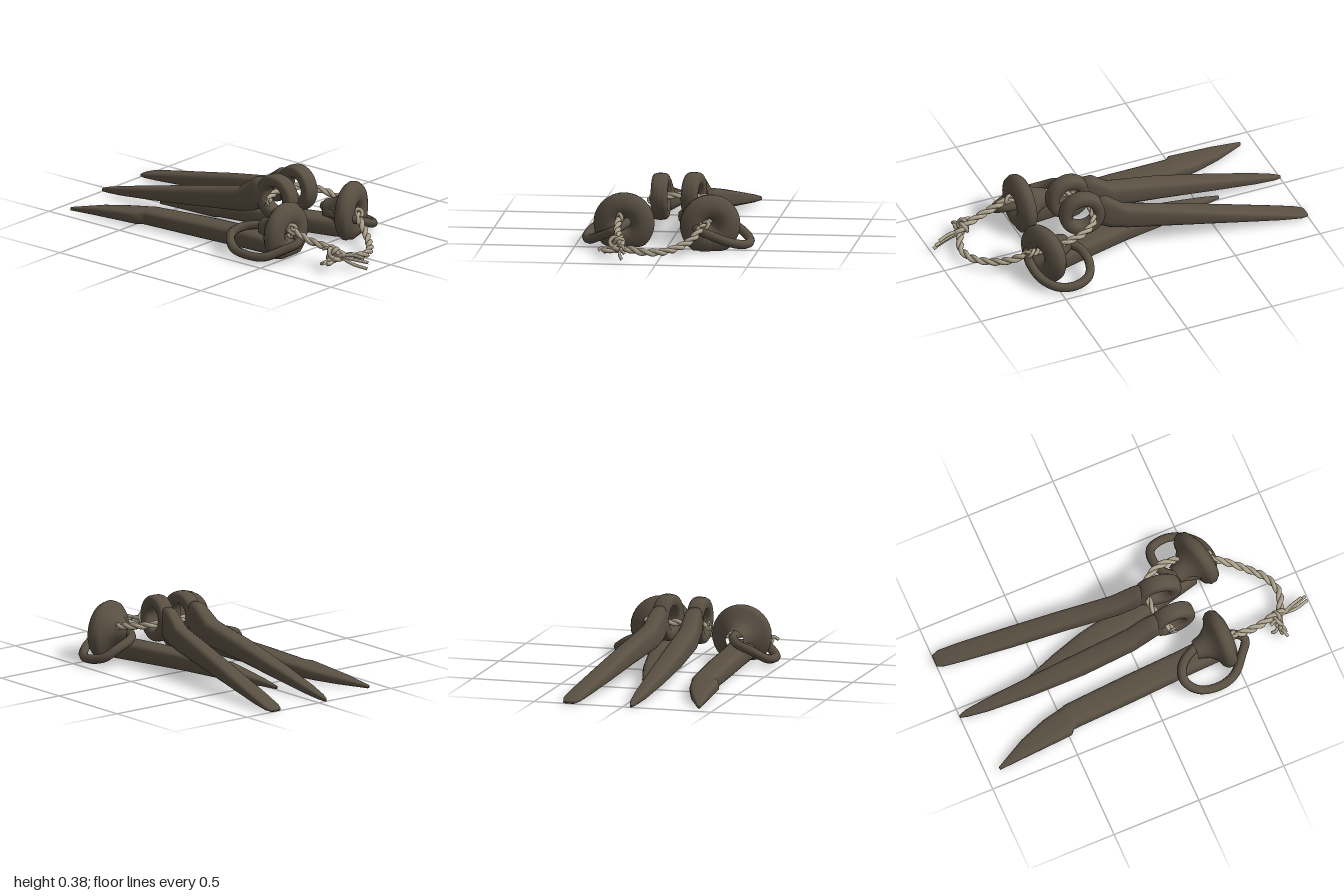
import * as THREE from 'three';

const iron = new THREE.MeshStandardMaterial({ color: 0x5a5043 });
iron.name = 'dark iron';
const hemp = new THREE.MeshStandardMaterial({ color: 0xaea48e });
hemp.name = 'pale rope';

const vec = (p) => new THREE.Vector3(...p);

function add(parent, name, geometry, material) {
  const mesh = new THREE.Mesh(geometry, material);
  mesh.name = name;
  parent.add(mesh);
  return mesh;
}

// Rounded-square point, used for every forged cross-section
function rounded(t, power) {
  const f = (v) => Math.sign(v) * Math.pow(Math.abs(v), power);
  return [f(Math.cos(t)), f(Math.sin(t))];
}

// Loft from front to back; each section is [z, left, right, bottom, top]
function loft(sections, sides = 20) {
  const shrink = ([z, a, b, c, d]) => [z, (a + b) / 2, (a + b) / 2, (c + d) / 2, (c + d) / 2];
  const all = [shrink(sections[0]), ...sections, shrink(sections[sections.length - 1])];
  const pos = [], index = [];
  all.forEach(([z, a, b, c, d], i) => {
    for (let j = 0; j < sides; j++) {
      const [u, v] = rounded((j / sides) * Math.PI * 2, 0.6);
      pos.push((a + b) / 2 + (u * (b - a)) / 2, (c + d) / 2 + (v * (d - c)) / 2, z);
      if (i === all.length - 1) continue;
      const p = i * sides + j, q = i * sides + ((j + 1) % sides);
      index.push(p, p + sides, q, q, p + sides, q + sides);
    }
  });
  const g = new THREE.BufferGeometry();
  g.setAttribute('position', new THREE.Float32BufferAttribute(pos, 3));
  g.setIndex(index);
  g.computeVertexNormals();
  return g;
}

// Domed, dimpled disc head that flares out of its shaft and rests on the ground
function discHead(x, y, z, yaw) {
  const profile = [[0.05, -0.15], [0.07, -0.09], [0.105, -0.05], [0.145, -0.035], [0.163, -0.015],
    [0.166, 0.01], [0.152, 0.036], [0.11, 0.054], [0.07, 0.052], [0.045, 0.035], [0.03, 0], [0, -0.01]];
  const g = new THREE.LatheGeometry(profile.map((p) => new THREE.Vector2(...p)), 32);
  g.rotateX(Math.PI / 2).rotateY(yaw).translate(x, y, z);
  const p = g.attributes.position;
  for (let i = 0; i < p.count; i++) p.setY(i, Math.max(0, p.getY(i)));
  g.computeVertexNormals();
  return g;
}

// Flattened eye ring standing upright
function eyeRing(x, y, z, yaw) {
  const profile = [];
  for (let i = 0; i <= 16; i++) {
    const [u, v] = rounded((i / 16) * Math.PI * 2, 0.65);
    profile.push(new THREE.Vector2(0.094 + u * 0.034, v * 0.046));
  }
  return new THREE.LatheGeometry(profile, 28).rotateZ(-Math.PI / 2).rotateY(yaw).translate(x, y, z);
}

function tube(points, radius, closed = false) {
  const curve = new THREE.CatmullRomCurve3(points.map(vec), closed);
  return new THREE.TubeGeometry(curve, points.length * 7, radius, 8, closed);
}

// Two strands twisted around a shared path
function rope(parent, name, points, radius) {
  const group = new THREE.Group();
  group.name = name;
  const curve = new THREE.CatmullRomCurve3(points.map(vec));
  const steps = Math.ceil(curve.getLength() / 0.012);
  const frames = curve.computeFrenetFrames(steps, false);
  for (const phase of [0, Math.PI]) {
    const path = [];
    for (let i = 0; i <= steps; i++) {
      const a = phase + i * 0.6;
      path.push(curve.getPointAt(i / steps)
        .addScaledVector(frames.normals[i], Math.cos(a) * radius * 0.45)
        .addScaledVector(frames.binormals[i], Math.sin(a) * radius * 0.45));
    }
    const strand = new THREE.CatmullRomCurve3(path);
    add(group, 'ropeStrand', new THREE.TubeGeometry(strand, steps * 2, radius * 0.65, 7), hemp);
  }
  parent.add(group);
}

export function createModel() {
  const model = new THREE.Group();
  model.name = 'tiedSpikes';

  // Spikes lying on the ground, with chisel blades
  const right = new THREE.Group();
  right.name = 'rightDiscSpike';
  add(right, 'shaft', loft([
    [0.44, -0.32, -0.17, 0, 0.11], [0.2, -0.33, -0.19, 0, 0.105], [-0.1, -0.35, -0.205, 0, 0.1],
    [-0.44, -0.365, -0.225, 0, 0.085], [-0.465, -0.368, -0.228, 0, 0.084],
    [-0.485, -0.392, -0.235, 0, 0.082], [-0.6, -0.4, -0.258, 0, 0.068],
    [-0.75, -0.408, -0.312, 0, 0.05], [-0.92, -0.416, -0.4, 0, 0.018]]), iron);
  add(right, 'discHead', discHead(-0.235, 0.13, 0.452, 0.03), iron);
  add(right, 'looseRing', tube([
    [-0.45, 0.033, 0.37], [-0.435, 0.05, 0.25], [-0.37, 0.1, 0.185], [-0.29, 0.125, 0.21],
    [-0.225, 0.135, 0.32], [-0.215, 0.135, 0.43], [-0.24, 0.125, 0.54], [-0.28, 0.105, 0.58],
    [-0.35, 0.07, 0.53], [-0.42, 0.035, 0.46]], 0.025, true), iron);
  model.add(right);

  const left = new THREE.Group();
  left.name = 'leftDiscSpike';
  add(left, 'shaft', loft([
    [0.48, 0.14, 0.29, 0, 0.11], [0.2, 0.07, 0.215, 0, 0.105], [0, 0.025, 0.165, 0, 0.1],
    [-0.2, -0.005, 0.125, 0, 0.085], [-0.225, -0.008, 0.12, 0, 0.084],
    [-0.245, -0.025, 0.115, 0, 0.082], [-0.4, -0.022, 0.07, 0, 0.06],
    [-0.52, -0.02, 0.028, 0, 0.04], [-0.62, -0.018, -0.004, 0, 0.018]]), iron);
  add(left, 'discHead', discHead(0.24, 0.14, 0.515, 0.3), iron);
  add(left, 'looseRing', tube([
    [0.447, 0.033, 0.42], [0.42, 0.055, 0.33], [0.35, 0.1, 0.3], [0.25, 0.13, 0.32],
    [0.18, 0.135, 0.4], [0.15, 0.135, 0.5], [0.17, 0.13, 0.58], [0.22, 0.11, 0.6],
    [0.34, 0.06, 0.58], [0.42, 0.033, 0.51]], 0.025, true), iron);
  model.add(left);

  // Raised spikes with upright eyes: [z, bottom, top] shared by both
  const heights = [[0.165, 0.17, 0.33], [0.1, 0.135, 0.325], [0, 0.115, 0.25], [-0.3, 0.08, 0.187],
    [-0.6, 0.042, 0.118], [-0.85, 0.012, 0.06], [-0.96, 0.002, 0.032], [-1, 0, 0.018]];
  const eyeSpikes = [
    { name: 'innerRightEyeSpike', eye: [-0.06, 0.24, 0.245, 0],
      edges: [[-0.105, -0.015], [-0.11, -0.012], [-0.122, -0.01], [-0.13, -0.013],
        [-0.113, -0.016], [-0.088, -0.022], [-0.068, -0.03], [-0.055, -0.042]] },
    { name: 'innerLeftEyeSpike', eye: [0.12, 0.247, 0.24, -0.15],
      edges: [[0.09, 0.172], [0.092, 0.18], [0.1, 0.198], [0.145, 0.25],
        [0.187, 0.298], [0.228, 0.335], [0.248, 0.346], [0.265, 0.335]] },
  ];
  for (const { name, eye, edges } of eyeSpikes) {
    const spike = new THREE.Group();
    spike.name = name;
    add(spike, 'shaft', loft(heights.map(([z, lo, hi], i) => [z, ...edges[i], lo, hi])), iron);
    add(spike, 'eyeRing', eyeRing(...eye), iron);
    model.add(spike);
  }

  // Rope threaded through the eyes and heads
  rope(model, 'eyeRope', [[-0.125, 0.215, 0.23], [-0.06, 0.23, 0.2], [0.02, 0.235, 0.175],
    [0.11, 0.235, 0.175], [0.2, 0.225, 0.21], [0.255, 0.21, 0.3], [0.26, 0.19, 0.4],
    [0.24, 0.16, 0.48], [0.21, 0.145, 0.57]], 0.019);
  rope(model, 'frontRope', [[0.22, 0.15, 0.53], [0.2, 0.13, 0.6], [0.16, 0.085, 0.68],
    [0.09, 0.055, 0.77], [0.01, 0.043, 0.84], [-0.08, 0.045, 0.865], [-0.16, 0.055, 0.84],
    [-0.24, 0.05, 0.8], [-0.31, 0.035, 0.8]], 0.02);
  rope(model, 'sideRope', [[-0.25, 0.15, 0.48], [-0.255, 0.15, 0.55], [-0.25, 0.125, 0.63],
    [-0.235, 0.11, 0.71], [-0.215, 0.095, 0.78], [-0.2, 0.06, 0.85]], 0.02);

  // Knots
  const knots = [[-0.235, 0.075, 0.79, 0.027], [-0.25, 0.15, 0.515, 0.025],
    [0.212, 0.148, 0.575, 0.024], [-0.118, 0.217, 0.225, 0.015]];
  knots.forEach(([x, y, z, r], i) => {
    const knot = add(model, 'knot', new THREE.TorusKnotGeometry(r, r * 0.42, 48, 7), hemp);
    knot.position.set(x, y, z);
    knot.rotation.set(i, i * 1.7, 0.4);
  });

  // Frayed ends
  const ends = [
    [[-0.22, 0.07, 0.8], [-0.2, 0.06, 0.88], [-0.165, 0.05, 0.985]],
    [[-0.21, 0.06, 0.82], [-0.205, 0.035, 0.91], [-0.18, 0.02, 0.99]],
    [[-0.22, 0.07, 0.82], [-0.19, 0.08, 0.9], [-0.17, 0.07, 0.96]],
    [[-0.28, 0.04, 0.79], [-0.31, 0.055, 0.8], [-0.335, 0.04, 0.81]],
    [[-0.25, 0.06, 0.8], [-0.28, 0.03, 0.76], [-0.275, 0.02, 0.74]],
    [[-0.24, 0.08, 0.8], [-0.25, 0.11, 0.77], [-0.26, 0.1, 0.74]],
  ];
  for (const points of ends) add(model, 'frayedEnd', tube(points, 0.009), hemp);

  return model;
}
